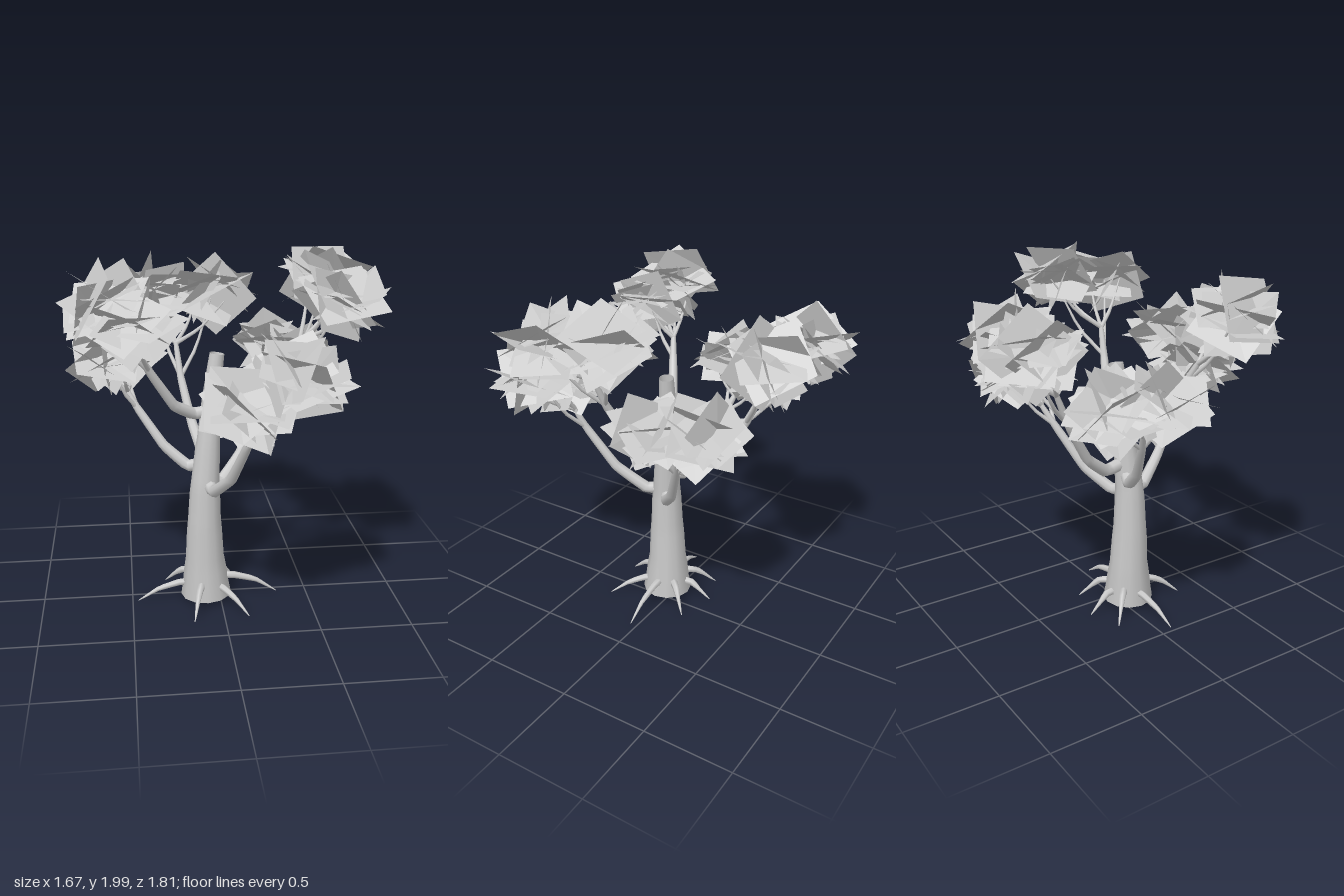
import * as THREE from 'three';
import { mergeGeometries } from 'three/addons/utils/BufferGeometryUtils.js';

const grey = new THREE.MeshStandardMaterial({ color: 0xcccccc, side: THREE.DoubleSide });
grey.name = 'grey';

// Small seeded generator
function seeded(seed) {
  return () => {
    seed = (seed * 16807) % 2147483647;
    return seed / 2147483647;
  };
}

// Tapered tube with nearly straight segments; radii are spread along the path
function limb(points, radii, sides, steps) {
  const curve = new THREE.CatmullRomCurve3(points.map(p => new THREE.Vector3(...p)), false, 'catmullrom', 0.12);
  const geo = new THREE.TubeGeometry(curve, steps, 1, sides, false);
  const pos = geo.attributes.position;
  const v = new THREE.Vector3();
  for (let i = 0; i <= steps; i++) {
    const centre = curve.getPointAt(i / steps);
    const f = curve.getUtoTmapping(i / steps) * (radii.length - 1);
    const k = Math.min(Math.floor(f), radii.length - 2);
    const r = THREE.MathUtils.lerp(radii[k], radii[k + 1], f - k);
    for (let j = 0; j <= sides; j++) {
      const n = i * (sides + 1) + j;
      v.fromBufferAttribute(pos, n).sub(centre).multiplyScalar(r).add(centre);
      pos.setXYZ(n, v.x, v.y, v.z);
    }
  }
  return geo;
}

// Cluster of large crossing leaf sheets that face up and away from the trunk
function leafCluster([x, y, z, r], rand) {
  const sheets = [];
  const v = new THREE.Vector3();
  const forward = new THREE.Vector3(0, 0, 1);
  const axis = new THREE.Vector3(x, 0, z).normalize().multiplyScalar(0.45).setY(0.9).normalize();
  const lean = new THREE.Quaternion().setFromUnitVectors(forward, axis);
  const count = 10;
  for (let i = 0; i < count; i++) {
    const s = r * (1.4 + 0.25 * rand());
    const sheet = new THREE.PlaneGeometry(s, s);
    const pos = sheet.attributes.position;
    pos.setZ(0, (rand() - 0.5) * 0.08);
    pos.setZ(3, (rand() - 0.5) * 0.08);
    // Sheet directions spiral outwards from the cluster axis
    const tilt = 0.15 + 1.05 * i / (count - 1);
    const a = i * 2.4 + rand() * 0.8;
    const normal = new THREE.Vector3(Math.sin(tilt) * Math.cos(a), Math.sin(tilt) * Math.sin(a), Math.cos(tilt));
    sheet.rotateZ(rand() * Math.PI);
    sheet.applyQuaternion(new THREE.Quaternion().setFromUnitVectors(forward, normal));
    sheet.applyQuaternion(lean);
    sheet.translate((rand() - 0.5) * r * 0.6, (rand() - 0.5) * r * 0.5, (rand() - 0.5) * r * 0.6);
    for (let n = 0; n < 4; n++) {
      v.fromBufferAttribute(pos, n).clampLength(0, r * 1.12);
      pos.setXYZ(n, x + v.x, Math.min(y + v.y * 0.9, 2), z + v.z);
    }
    const faceted = sheet.toNonIndexed();
    faceted.computeVertexNormals();
    sheets.push(faceted);
  }
  return mergeGeometries(sheets);
}

export function createModel() {
  const tree = new THREE.Group();
  tree.name = 'tree';
  const add = (geo, name) => {
    const mesh = new THREE.Mesh(geo, grey);
    mesh.name = name;
    tree.add(mesh);
  };

  // Open trunk, leaning slightly as it narrows
  add(limb(
    [[-0.08, 0.035, 0.05], [-0.085, 0.24, 0.05], [-0.087, 0.47, 0.055], [-0.082, 0.7, 0.055],
      [-0.062, 0.95, 0.04], [-0.042, 1.2, 0.02], [-0.01, 1.43, 0.01]],
    [0.142, 0.111, 0.095, 0.081, 0.065, 0.049, 0.04], 12, 18), 'trunk');

  // Roots: direction in degrees from +x towards +z, and reach
  const roots = [[0, 0.41], [52, 0.35], [106, 0.32], [175, 0.39], [222, 0.3], [262, 0.27], [312, 0.28]];
  roots.forEach(([deg, reach], i) => {
    const c = Math.cos(deg * Math.PI / 180), s = Math.sin(deg * Math.PI / 180);
    const at = (d, y) => [-0.08 + c * d, y, 0.04 + s * d];
    const high = i % 2 ? 0.105 : 0.13;
    add(limb([at(0.03, high), at(0.15, high), at(reach * 0.7, high * 0.72), at(reach, 0.012)],
      [0.024, 0.021, 0.015, 0.002], 6, 9), 'root');
  });

  // Branches, each with the leaf clusters its twigs reach for
  const branches = [
    { path: [[-0.07, 0.87, 0], [-0.09, 0.86, -0.11], [-0.13, 0.97, -0.25], [-0.18, 1.2, -0.39], [-0.2, 1.38, -0.47]],
      leaves: [[-0.32, 1.65, -0.66, 0.24], [0.02, 1.65, -0.59, 0.25]] },
    { path: [[-0.07, 0.72, 0.03], [0.01, 0.69, 0], [0.13, 0.81, -0.11], [0.26, 1.04, -0.22], [0.32, 1.15, -0.27]],
      leaves: [[0.38, 1.36, -0.44, 0.23], [0.45, 1.36, -0.18, 0.22]] },
    { path: [[-0.06, 1.04, 0.03], [0.06, 1.035, 0.05], [0.2, 1.12, 0.1], [0.34, 1.37, 0.16], [0.4, 1.52, 0.18]],
      leaves: [[0.59, 1.77, 0.33, 0.24], [0.57, 1.81, -0.03, 0.24]] },
    { path: [[-0.07, 0.72, 0.07], [-0.045, 0.7, 0.17], [0.03, 0.83, 0.33], [0.09, 1.06, 0.49], [0.12, 1.17, 0.54]],
      leaves: [[0.08, 1.32, 0.63, 0.25], [0.34, 1.45, 0.61, 0.25]] },
    { path: [[-0.04, 1.12, 0.03], [-0.14, 1.11, 0.05], [-0.25, 1.18, 0.12], [-0.38, 1.39, 0.2], [-0.43, 1.49, 0.23]],
      leaves: [[-0.45, 1.68, 0.4, 0.24], [-0.6, 1.76, 0.32, 0.24]] },
    { path: [[-0.08, 0.82, 0.03], [-0.17, 0.79, -0.01], [-0.3, 0.9, -0.05], [-0.44, 1.1, -0.12], [-0.49, 1.19, -0.15]],
      leaves: [[-0.5, 1.36, -0.33, 0.24], [-0.58, 1.39, -0.07, 0.23]] },
  ];

  branches.forEach(({ path, leaves }, b) => {
    const rand = seeded(421 + b * 977);
    add(limb(path, [0.036, 0.034, 0.029, 0.022, 0.014], 8, 20), 'branch');
    const [, , , start, tip] = path;
    leaves.forEach((leaf, k) => {
      // Three slender twigs fan out into every cluster
      for (let t = 0; t < 3; t++) {
        const from = t === 1 ? start : tip;
        const to = [leaf[0] + (t - 1) * 0.07, leaf[1] - 0.02 * t, leaf[2] + (k ? 0.06 : -0.06) * (t - 1)];
        const mid = from.map((c, n) => c + (to[n] - c) * (n === 1 ? 0.35 : 0.5));
        add(limb([from, mid, to], [0.013, 0.01, 0.003], 6, 6), 'twig');
      }
      add(leafCluster(leaf, rand), 'leafCluster');
    });
  });

  return tree;
}
